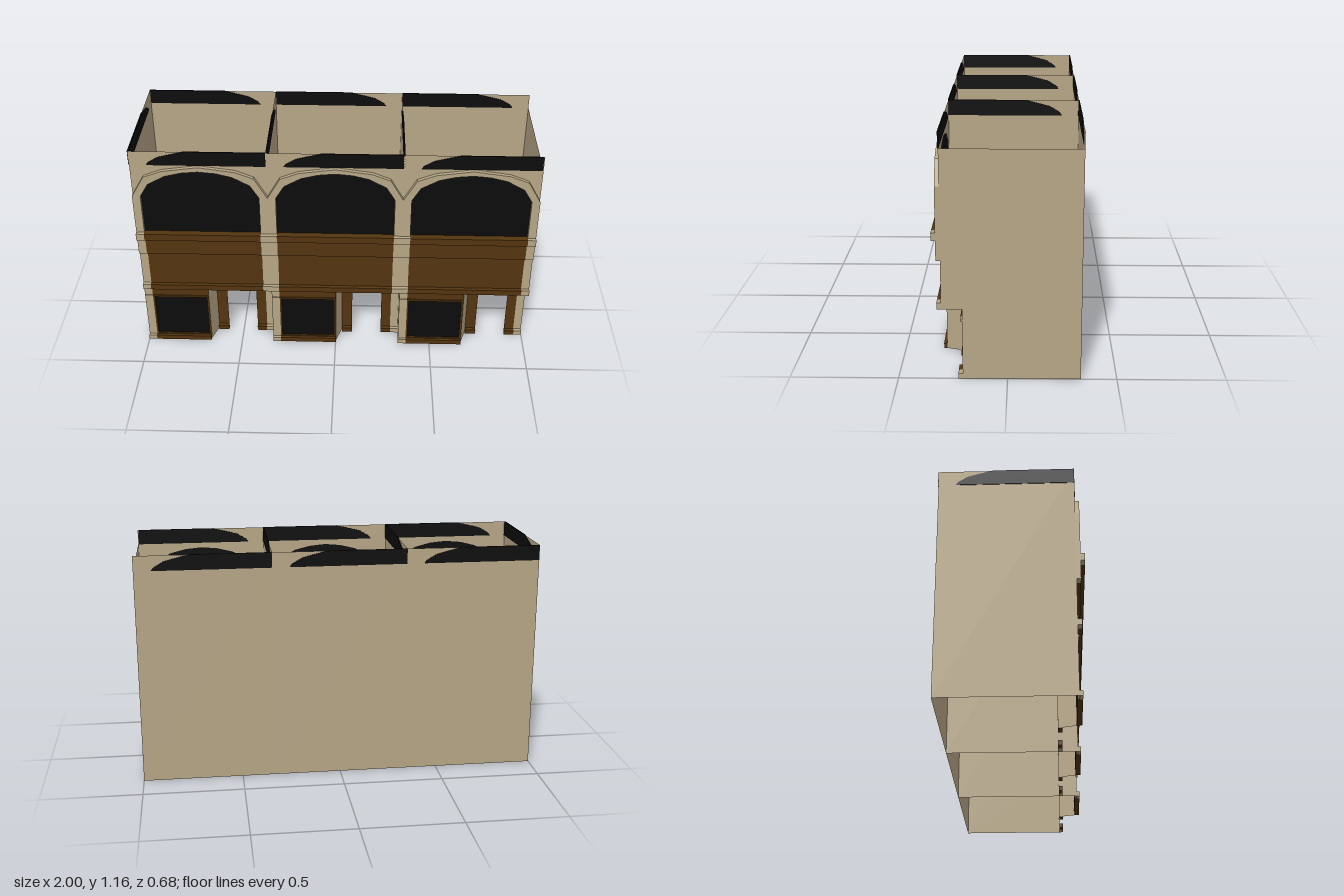
import * as THREE from 'three';

const mat = (name, color) => new THREE.MeshStandardMaterial({ name, color, side: THREE.DoubleSide });

export function createModel() {
  const stone = mat('stone', 0xb6a686);
  const wood = mat('brown wood', 0x54350f);
  const dark = mat('dark glass', 0x0c0c0c);
  const model = new THREE.Group();
  model.name = 'arcadeBuilding';

  const BAY = 2 / 3, BACK = -0.335, FRONT = 0.3, DOOR = 0.205, TOP = 1.16, EAVE = 1.085;
  const PIER = 0.041, INNER = BAY - PIER;

  const add = (parent, name, geo, material) => {
    const mesh = new THREE.Mesh(geo, material);
    mesh.name = name;
    parent.add(mesh);
    return mesh;
  };
  const box = (parent, name, material, x0, x1, y0, y1, z0, z1) => {
    const m = add(parent, name, new THREE.BoxGeometry(x1 - x0, y1 - y0, z1 - z0), material);
    m.position.set((x0 + x1) / 2, (y0 + y1) / 2, (z0 + z1) / 2);
    return m;
  };
  // four-cornered sheet, corners anticlockwise seen from its front
  const sheet = (parent, name, material, a, b, c, d) => {
    const g = new THREE.BufferGeometry();
    g.setAttribute('position', new THREE.Float32BufferAttribute([a, b, c, d].flat(), 3));
    g.setIndex([0, 1, 2, 0, 2, 3]);
    g.computeVertexNormals();
    return add(parent, name, g, material);
  };
  const upright = (parent, name, material, x0, x1, y0, y1, z) =>
    sheet(parent, name, material, [x0, y0, z], [x1, y0, z], [x1, y1, z], [x0, y1, z]);
  const shape = pts => new THREE.Shape(pts.map(p => new THREE.Vector2(p[0], p[1])));
  const extrude = (s, depth) => new THREE.ExtrudeGeometry(s, { depth, bevelEnabled: false });

  // half arch [offset from centre, height], mirrored into a full curve from left to right
  const arch = half => [
    ...half.map(([o, y]) => [BAY / 2 - o, y]),
    ...half.slice(0, -1).reverse().map(([o, y]) => [BAY / 2 + o, y]),
  ];
  const innerArch = arch([[0.2925, 0.7], [0.2925, 0.915], [0.25, 0.985], [0.165, 1.032], [0.085, 1.052], [0, 1.06]]);
  const outerArch = arch([[BAY / 2, 0.7], [BAY / 2, 0.915], [0.27, 1.025], [0.18, 1.06], [0, EAVE]]);
  const wallOutline = [[0, 0.7], [0, TOP], [BAY, TOP], [BAY, 0.7]];
  const frame = outline => shape([...outline, ...[...innerArch].reverse()]);

  // dark parapet strip: blunt at u = 0, curved at the far end; dir flips it
  const strip = (parent, dir, scale) => {
    const pts = [[0, EAVE], [0.58, EAVE], [0.57, 1.1], [0.52, 1.13], [0.47, 1.143], [0.395, TOP + 0.001], [0, TOP + 0.001]];
    const g = extrude(shape(pts.map(([u, y]) => [u * dir * scale, y])), 0.006);
    g.translate(0, 0, -0.003);
    return add(parent, 'parapetStrip', g, dark);
  };

  // a horizontal course: stone over the piers, wood between them
  const course = (bay, name, y0, y1, z0, z1) => {
    for (const [a, b, m] of [[0, PIER, stone], [PIER, INNER, wood], [INNER, BAY, stone]]) {
      if (z0 === z1) upright(bay, name, m, a, b, y0, y1, z0);
      else box(bay, name, m, a, b, y0, y1, z0, z1);
    }
  };

  for (let i = 0; i < 3; i++) {
    const bay = new THREE.Group();
    bay.name = 'bay' + (i + 1);
    bay.position.x = -1 + i * BAY;
    model.add(bay);

    // arched upper window
    add(bay, 'spandrelWall', new THREE.ShapeGeometry(frame(wallOutline)), stone).position.z = FRONT;
    add(bay, 'archMoulding', extrude(frame(outerArch), 0.02), stone).position.z = FRONT;
    add(bay, 'archGlass', new THREE.ShapeGeometry(shape(innerArch)), dark).position.z = FRONT + 0.002;
    strip(bay, -1, 1).position.set(BAY - 0.004, 0, FRONT);

    // facade courses
    course(bay, 'panel', 0.57, 0.7, FRONT, 0.32);
    course(bay, 'windowLedge', 0.665, 0.702, 0.319, 0.34);
    course(bay, 'middleWall', 0.37, 0.57, FRONT, FRONT);
    course(bay, 'beltCourse', 0.34, 0.37, FRONT, 0.32);

    // shop window
    const sx = 0.335, dx = 0.365;
    upright(bay, 'leftPier', stone, 0, PIER, 0, 0.34, FRONT);
    const front = shape([[PIER, 0], [sx, 0], [sx, 0.34], [PIER, 0.34]]);
    front.holes.push(new THREE.Path([[0.05, 0.03], [0.05, 0.275], [0.325, 0.275], [0.325, 0.03]]
      .map(p => new THREE.Vector2(...p))));
    add(bay, 'shopWindowFrame', extrude(front, 0.01), wood).position.z = FRONT - 0.01;
    upright(bay, 'shopGlass', dark, 0.05, 0.325, 0.03, 0.275, FRONT - 0.009);
    box(bay, 'pierPlinth', stone, 0, PIER, 0, 0.025, FRONT, 0.315);
    box(bay, 'shopPlinth', wood, PIER, sx, 0, 0.025, FRONT, 0.315);
    box(bay, 'pierBead', stone, 0, PIER, 0.281, 0.289, FRONT, 0.305);
    box(bay, 'shopBead', wood, PIER, sx, 0.281, 0.289, FRONT, 0.305);

    // recessed doorway with a splayed side
    sheet(bay, 'splayedSide', stone, [sx, 0, FRONT], [dx, 0, DOOR], [dx, 0.34, DOOR], [sx, 0.34, FRONT]);
    sheet(bay, 'doorCeiling', wood, [sx, 0.34, FRONT], [dx, 0.34, DOOR], [INNER, 0.34, DOOR], [INNER, 0.34, FRONT]);
    sheet(bay, 'pierCeiling', stone, [INNER, 0.34, FRONT], [INNER, 0.34, DOOR], [BAY, 0.34, DOOR], [BAY, 0.34, FRONT]);
    upright(bay, 'doorLintel', wood, dx, INNER, 0.285, 0.34, DOOR);
    box(bay, 'doorBead', wood, dx, INNER, 0.281, 0.289, DOOR, DOOR + 0.01);
    box(bay, 'rightPierBead', stone, INNER, BAY, 0.281, 0.289, DOOR, DOOR + 0.01);
    for (const [a, b, m] of [[dx, 0.42, wood], [0.575, INNER, wood], [INNER, BAY, stone]]) {
      upright(bay, 'doorPost', m, a, b, 0, m === stone ? 0.34 : 0.285, DOOR);
      box(bay, 'doorPostPlinth', m, a, b, 0, 0.025, DOOR, DOOR + 0.02);
    }

    // rear wall
    sheet(bay, 'rearWall', stone, [BAY, 0, BACK], [0, 0, BACK], [0, TOP, BACK], [BAY, TOP, BACK]);
    strip(bay, 1, 1).position.set(0.002, 0, BACK);

    // left end wall or partition, with its parapet
    sheet(bay, 'crossWall', stone, [0, 0, BACK], [0, 0, FRONT], [0, TOP, FRONT], [0, TOP, BACK]);
    const side = strip(bay, -1, 0.955);
    side.rotation.y = -Math.PI / 2;
    side.position.z = FRONT;
  }

  // far end wall, lower than the parapet and cut back beside the last doorway
  const end = add(model, 'endWall', new THREE.ShapeGeometry(shape([
    [BACK, 0], [DOOR, 0], [DOOR, 0.34], [FRONT, 0.34], [FRONT, EAVE], [BACK, EAVE],
  ])), stone);
  end.rotation.y = -Math.PI / 2;
  end.position.x = 1;

  return model;
}
